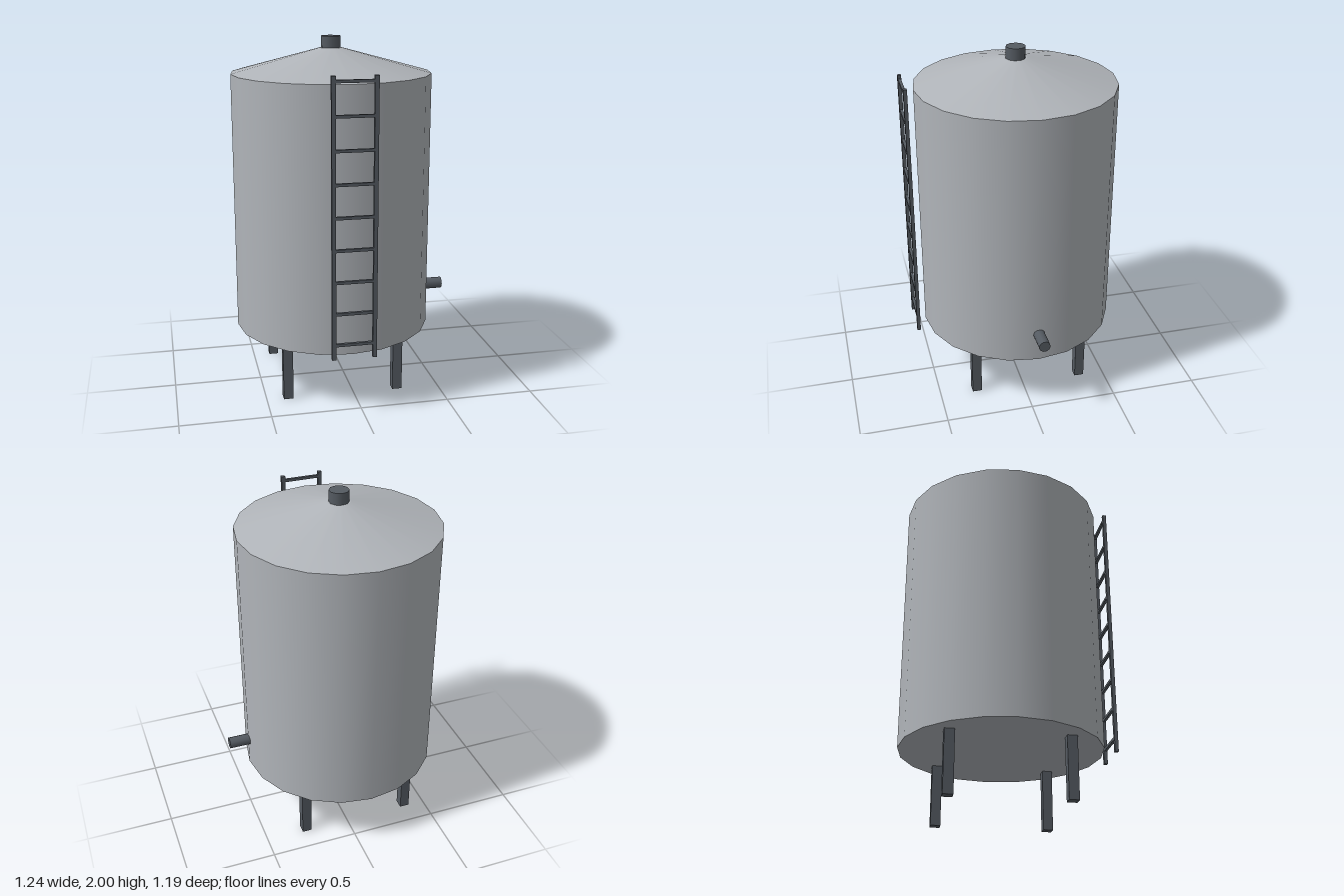
import * as THREE from 'three';

const CX = -0.06, CZ = -0.035; // tank axis
const RADIUS = 0.56, BASE = 0.34, EAVE = 1.8, PEAK = 1.935;

export function createModel() {
  const model = new THREE.Group();
  model.name = 'storageTank';

  const shell = new THREE.MeshStandardMaterial({ color: 0xb0b4b9 });
  shell.name = 'light grey steel';
  const frame = new THREE.MeshStandardMaterial({ color: 0x555b62 });
  frame.name = 'dark grey steel';

  function add(name, geometry, material, x, y, z, parent = model) {
    const mesh = new THREE.Mesh(geometry, material);
    mesh.name = name;
    mesh.position.set(x, y, z);
    parent.add(mesh);
    return mesh;
  }

  // Tank body and conical roof
  add('tankBody', new THREE.CylinderGeometry(RADIUS, RADIUS, EAVE - BASE, 20),
    shell, CX, (BASE + EAVE) / 2, CZ);
  add('roof', new THREE.CylinderGeometry(0.062, RADIUS, PEAK - EAVE, 20),
    shell, CX, (EAVE + PEAK) / 2, CZ);

  // Vent on the roof
  add('vent', new THREE.CylinderGeometry(0.055, 0.055, 0.08, 10), frame, CX, 1.96, CZ);

  // Outlet pipe on the left side
  const pipe = add('outletPipe', new THREE.CylinderGeometry(0.033, 0.033, 0.135, 10),
    frame, 0.5475, 0.508, CZ);
  pipe.rotation.z = -Math.PI / 2;

  // Four square legs
  const legGeometry = new THREE.BoxGeometry(0.055, BASE, 0.055);
  for (const sx of [-1, 1]) {
    for (const sz of [-1, 1]) {
      add('leg', legGeometry, frame, CX + sx * 0.317, BASE / 2, CZ + sz * 0.317);
    }
  }

  // Ladder standing in front of the tank
  const ladder = new THREE.Group();
  ladder.name = 'ladder';
  ladder.position.set(CX + 0.001, 0, 0.582);
  model.add(ladder);
  const railGeometry = new THREE.BoxGeometry(0.022, 1.51, 0.02);
  for (const side of [-1, 1]) {
    add('ladderRail', railGeometry, frame, side * 0.111, 1.097, 0, ladder);
  }
  const rungGeometry = new THREE.BoxGeometry(0.222, 0.016, 0.016);
  for (let i = 0; i < 9; i++) {
    add('ladderRung', rungGeometry, frame, 0, 0.424 + i * 0.175, 0, ladder);
  }

  return model;
}
